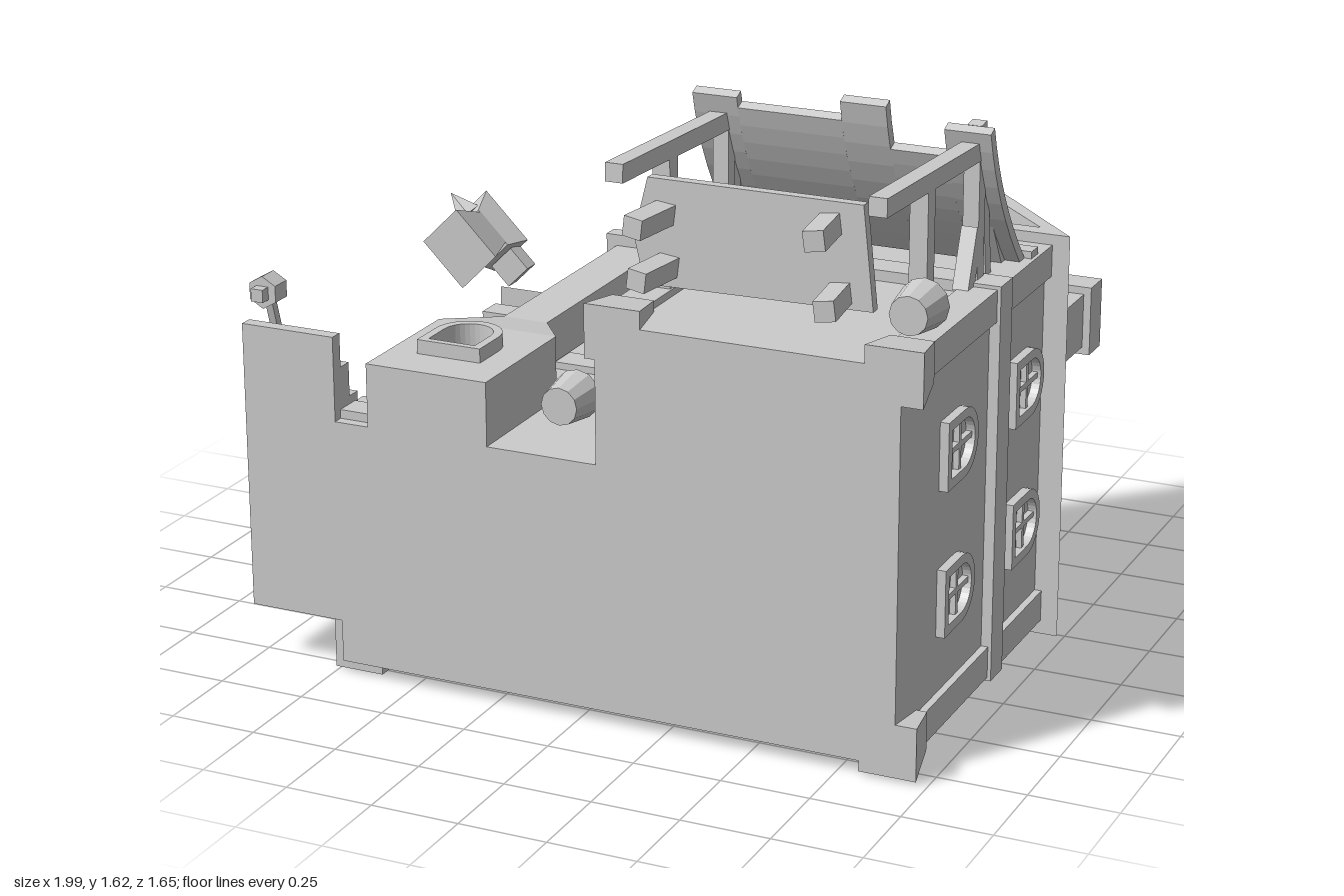
import * as THREE from 'three';
import { ConvexGeometry } from 'three/addons/geometries/ConvexGeometry.js';

const mat = new THREE.MeshStandardMaterial({ color: 0xcccccc, flatShading: true, side: THREE.DoubleSide });

// House is modelled upright (x across, y up, z to its front), then laid on its back.
export function createModel() {
  const model = new THREE.Group();
  const house = new THREE.Group();
  house.name = 'house';
  house.rotation.x = -Math.PI / 2;
  house.position.z = 0.82;
  model.add(house);

  const add = (name, geo, parent = house) => {
    const m = new THREE.Mesh(geo, mat);
    m.name = name;
    parent.add(m);
    return m;
  };
  // box from min/max extents
  const box = (name, x0, x1, y0, y1, z0, z1, parent = house) => {
    const m = add(name, new THREE.BoxGeometry(x1 - x0, y1 - y0, z1 - z0), parent);
    m.position.set((x0 + x1) / 2, (y0 + y1) / 2, (z0 + z1) / 2);
    return m;
  };
  const hull = (name, pts, parent = house) =>
    add(name, new ConvexGeometry(pts.map(p => new THREE.Vector3(...p))), parent);
  // block whose bottom and top rectangles [x0,x1,z0,z1] differ
  const taper = (name, a, y0, b, y1, parent = house) => hull(name, [[a, y0], [b, y1]].flatMap(([r, y]) =>
    [[r[0], y, r[2]], [r[1], y, r[2]], [r[1], y, r[3]], [r[0], y, r[3]]]), parent);
  // square bar between two points
  const bar = (name, a, b, w, parent = house) => {
    const A = new THREE.Vector3(...a), B = new THREE.Vector3(...b);
    const m = add(name, new THREE.BoxGeometry(w, w, A.distanceTo(B)), parent);
    m.position.copy(A).lerp(B, 0.5);
    m.quaternion.setFromUnitVectors(new THREE.Vector3(0, 0, 1), B.sub(A).normalize());
    return m;
  };
  const poly = pts => new THREE.Shape(pts.map(p => new THREE.Vector2(...p)));
  const extrude = (shape, depth) => new THREE.ExtrudeGeometry(shape, { depth, bevelEnabled: false, curveSegments: 8 });
  // profile of [z, y] points extruded along x
  const sideExtrude = (name, pts, x0, x1) => {
    const m = add(name, extrude(poly(pts.map(([z, y]) => [-z, y])), x1 - x0).rotateY(Math.PI / 2));
    m.position.x = x0;
    return m;
  };
  const place = (name, x, y, z, ry) => {
    const g = new THREE.Group();
    g.name = name;
    g.position.set(x, y, z);
    g.rotation.y = ry;
    house.add(g);
    return g;
  };
  const arch = (w, h, y0 = 0) => {
    const s = new THREE.Shape();
    s.moveTo(-w, y0).lineTo(w, y0).lineTo(w, h - w).absarc(0, h - w, w, 0, Math.PI, false).lineTo(-w, y0);
    return s;
  };

  // Walls and floor beams
  box('wingWalls', 0.06, 0.91, 0, 1.07, 0.04, 1.13);
  box('mainWalls', -0.72, 0.06, 0, 1.07, 0.04, 0.74);
  box('wingBelt', 0.04, 0.94, 0.63, 0.72, 0.03, 1.16);
  box('mainBelt', -0.74, 0.04, 0.63, 0.72, 0.03, 0.76);
  box('headerBeam', 0.06, 0.92, 0.92, 0.97, 1.13, 1.17);
  for (const [x, z] of [[0.1, 1.1], [0.88, 1.1], [0.88, 0.08]]) {
    box('cornerPost', x - 0.05, x + 0.05, 0, 1.06, z - 0.04, z + 0.05);
    taper('cornerFoot', [x - 0.07, x + 0.09, z - 0.07, z + 0.08], 0, [x - 0.06, x + 0.06, z - 0.05, z + 0.06], 0.15);
  }
  // Stone quoins on the far corners
  for (const zc of [0.08, 0.7])
    for (let i = 0; i < 9; i++) {
      const w = i % 2 ? 0.045 : 0.075;
      box('cornerStone', -0.76, -0.69 + w, 0.03 + i * 0.112, 0.11 + i * 0.112, zc - w, zc + w - 0.01);
    }

  // Roof: long wing with a crossing front wing
  sideExtrude('mainRoof', [[0, 1.06], [0.8, 1.06], [0.4, 1.56]], -0.73, 0.49);
  hull('wingRoof', [[0, 1.06, 1.13], [0.98, 1.06, 1.13], [0.49, 1.56, 1.13], [0.49, 1.56, 0.4],
    [0.98, 1.06, 0], [0.49, 1.06, 0], [0, 1.06, 0.4]]);
  hull('wingRidge', [[0.43, 1.515, 0.4], [0.55, 1.515, 0.4], [0.46, 1.565, 0.37], [0.52, 1.565, 0.37],
    [0.43, 1.515, 1.21], [0.55, 1.515, 1.21], [0.46, 1.565, 1.21], [0.52, 1.565, 1.21]]);

  // Gable frames with king post and curved braces
  const truss = (name, hw, x, z, ry) => {
    const g = place(name, x, 1.06, z, ry);
    const s = poly([[-hw, 0], [hw, 0], [0, 0.5]]);
    s.holes.push(poly([[-hw * 0.79, 0.05], [0, 0.43], [hw * 0.79, 0.05]]));
    add('bargeBoards', extrude(s, 0.05), g);
    box('kingPost', -0.02, 0.02, 0.04, 0.44, 0, 0.035, g);
    for (const k of [-1, 1]) {
      const c = new THREE.QuadraticBezierCurve3(new THREE.Vector3(k * hw * 0.2, 0.04, 0.01),
        new THREE.Vector3(k * hw * 0.22, 0.17, 0.01), new THREE.Vector3(k * hw * 0.48, 0.25, 0.01));
      add('curvedBrace', new THREE.TubeGeometry(c, 6, 0.025, 4), g);
      bar('strut', [k * 0.02, 0.2, 0.012], [k * hw * 0.28, 0.33, 0.012], 0.03, g);
    }
  };
  truss('frontGable', 0.49, 0.49, 1.13, 0);
  truss('sideGable', 0.4, -0.72, 0.4, -Math.PI / 2);
  bar('sideBracket', [-0.73, 0.95, 0.42], [-0.84, 1.05, 0.42], 0.035);

  // Arched windows
  const windowAt = (x, y, z, ry) => {
    const g = place('archedWindow', x, y, z, ry);
    const s = arch(0.095, 0.22);
    s.holes.push(arch(0.068, 0.193, 0.027));
    add('windowFrame', extrude(s, 0.025), g);
    box('mullion', -0.008, 0.008, 0.02, 0.2, 0, 0.016, g);
    box('transom', -0.07, 0.07, 0.1, 0.116, 0, 0.016, g);
  };
  for (const y of [0.28, 0.79]) {
    for (const z of [0.39, 0.8]) windowAt(0.91, y, z, Math.PI / 2);
    for (const x of [0.5, 0.05, -0.4]) windowAt(x, y, 0.04, Math.PI);
  }
  windowAt(0.06, 0.79, 0.93, -Math.PI / 2);

  // Chimneys with hollow caps
  const chimney = (name, x, z, w, d, y0, y1, y2, lip) => {
    box(name + 'Shaft', x - w, x + w, y0, y1, z - d, z + d);
    const rect = (a, b) => poly([[-a, -b], [a, -b], [a, b], [-a, b]]);
    const s = rect(w + lip, d + lip);
    s.holes.push(rect(w - 0.03, d - 0.03));
    add(name + 'Cap', extrude(s, y2 - y1).rotateX(-Math.PI / 2)).position.set(x, y1, z);
  };
  chimney('roofChimney', 0.77, 0.77, 0.09, 0.08, 1.2, 1.555, 1.65, 0.022);
  chimney('forgeChimney', -0.435, 0.83, 0.067, 0.065, 0.56, 1.29, 1.34, 0.033);

  // Forge with arched fire opening
  box('forgeBack', -0.62, -0.26, 0, 0.41, 0.73, 0.82);
  const face = poly([[-0.18, 0], [0.18, 0], [0.18, 0.41], [-0.18, 0.41]]);
  face.holes.push(arch(0.07, 0.31, 0.14));
  add('forgeFront', extrude(face, 0.1)).position.set(-0.44, 0, 0.82);
  const ring = arch(0.095, 0.335, 0.13);
  ring.holes.push(arch(0.07, 0.31, 0.15));
  add('forgeArch', extrude(ring, 0.04)).position.set(-0.44, 0, 0.92);
  taper('forgeHood', [-0.62, -0.26, 0.74, 0.92], 0.41, [-0.502, -0.368, 0.765, 0.895], 0.57);

  // Cloth awning, ragged along its front edge
  for (const [x0, x1, end] of [[0.05, 0.18, 1.6], [0.18, 0.48, 1.57], [0.48, 0.61, 1.625], [0.61, 0.77, 1.5], [0.77, 0.9, 1.58]]) {
    const top = [];
    for (let i = 0; i <= 8; i++) {
      const d = (end - 1.15) * i / 8;
      top.push([1.15 + d, 0.92 - 0.935 * d + 0.767 * d * d]);
    }
    sideExtrude('awning', [...top, ...top.map(([z, y]) => [z - 0.012, y - 0.028]).reverse()], x0, x1);
  }
  for (const x of [0.12, 0.84]) {
    bar('awningPost', [x, 0, 1.54], [x, 0.7, 1.51], 0.05);
    bar('awningTie', [x, 0.305, 1.12], [x, 0.305, 1.53], 0.05);
    bar('awningBeam', [x, 0.68, 1.12], [x, 0.68, 1.52], 0.045);
    bar('awningBrace', [x, 0.61, 1.14], [x, 0.67, 1.3], 0.045);
    bar('awningRafter', [x, 0.75, 1.13], [x, 0.85, 1.33].map((v, i) => [x, 0.69, 1.58][i]), 0.04);
    bar('awningRafterTop', [x, 0.88, 1.14], [x, 0.69, 1.46], 0.035);
  }

  // Work table with tools
  const top = poly([[0.1, -1.33], [0.13, -1.2], [0.77, -1.21], [0.74, -1.49], [0.14, -1.49]]);
  add('tableTop', extrude(top, 0.03).rotateX(-Math.PI / 2)).position.y = 0.155;
  for (const [x, z] of [[0.19, 1.4], [0.65, 1.43], [0.2, 1.26], [0.68, 1.25]])
    bar('tableLeg', [x + (x < 0.4 ? -0.02 : 0.02), 0, z], [x, 0.16, z], 0.055);
  box('tableBlock', 0.53, 0.6, 0.185, 0.23, 1.3, 1.37);
  bar('tool', [0.3, 0.195, 1.3], [0.45, 0.195, 1.38], 0.018);
  bar('tool', [0.36, 0.195, 1.42], [0.48, 0.195, 1.33], 0.018);

  // Tool rack on the inner side wall
  const rack = place('toolRack', 0.06, 0.2, 0.93, -Math.PI / 2);
  box('rackBoard', -0.11, 0.11, 0, 0.18, 0, 0.02, rack);
  box('rackRail', -0.11, 0.11, 0.13, 0.15, 0.02, 0.05, rack);
  for (const x of [-0.06, 0.01, 0.06]) {
    box('hangingTool', x - 0.007, x + 0.007, 0.03, 0.15, 0.025, 0.045, rack);
    box('toolHead', x - 0.02, x + 0.02, 0.03, 0.055, 0.02, 0.05, rack);
  }

  // Open buckets
  for (const [x, z] of [[-0.045, 0.885], [0.925, 1.27]]) {
    const profile = [[0, 0], [0.052, 0], [0.068, 0.11], [0.056, 0.11], [0.045, 0.02], [0, 0.02]];
    add('bucket', new THREE.LatheGeometry(profile.map(p => new THREE.Vector2(...p)), 12)).position.set(x, 0, z);
  }

  // Anvil turned on its stand
  const anvil = place('anvil', -0.325, 0, 1.275, Math.PI / 4);
  taper('anvilStand', [-0.085, 0.075, -0.07, 0.07], 0, [-0.05, 0.05, -0.05, 0.05], 0.12, anvil);
  taper('anvilBody', [-0.06, 0.06, -0.05, 0.05], 0.115, [-0.09, 0.08, -0.07, 0.07], 0.175, anvil);
  box('anvilHeel', 0.07, 0.14, 0.13, 0.175, -0.04, 0.04, anvil);
  const horn = add('anvilHorn', new THREE.ConeGeometry(0.04, 0.075, 6).rotateZ(Math.PI / 2), anvil);
  horn.position.set(-0.11, 0.145, 0);

  // Side stairs: landing at the back, steps down to the front
  box('landing', -1, -0.72, 0, 0.25, 0.16, 0.5);
  for (let i = 0; i < 5; i++)
    box('step', -1, -0.72, 0, 0.21 - i * 0.043, 0.5 + i * 0.096, 0.596 + i * 0.096);
  const newel = (x, y, z, h) => {
    box('newelPost', x - 0.018, x + 0.018, y, y + h, z - 0.018, z + 0.018);
    add('newelKnob', new THREE.CylinderGeometry(0.046, 0.046, 0.06, 6)).position.set(x, y + h, z);
  };
  newel(-0.95, 0, 1.065, 0.06);
  newel(-0.95, 0.24, 0.21, 0.075);
  newel(-0.77, 0.24, 0.21, 0.075);
  bar('stairRail', [-0.95, 0.06, 1.065], [-0.95, 0.315, 0.21], 0.022);
  bar('landingRail', [-0.95, 0.315, 0.21], [-0.75, 0.315, 0.21], 0.022);

  // Side door above the landing
  const door = place('sideDoor', -0.72, 0.25, 0.43, -Math.PI / 2);
  box('doorPanel', -0.13, 0.13, 0, 0.33, 0, 0.015, door);
  for (const k of [-1, 1]) box('doorJamb', k * 0.14 - 0.018, k * 0.14 + 0.018, 0, 0.35, 0, 0.04, door);
  box('doorLintel', -0.17, 0.17, 0.33, 0.37, 0, 0.045, door);

  return model;
}
